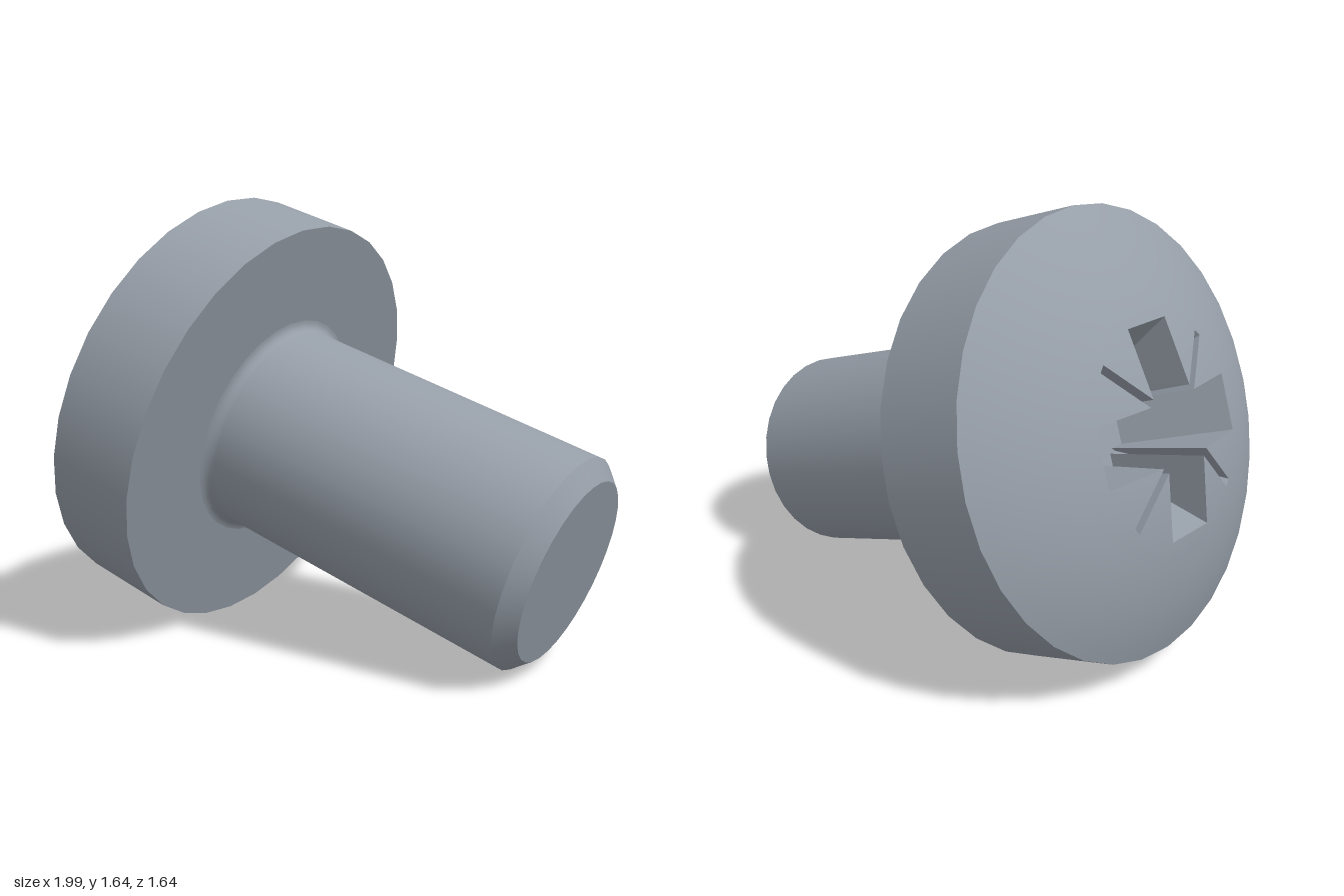
import * as THREE from 'three';

const SIDES = 32;
const HEAD_R = 0.804, RIM = 0.36, TOP = 0.615;      // head radius, rim height, dome apex
const SHAFT_R = 0.4, TIP_R = 0.338, LENGTH = 1.29;
const DECK_R = 0.43;                                // dome area that holds the recess
const CAP = TOP - RIM;
const SPHERE_R = (HEAD_R * HEAD_R + CAP * CAP) / (2 * CAP);
const SPHERE_Y = TOP - SPHERE_R;
const domeY = (r) => SPHERE_Y + Math.sqrt(SPHERE_R * SPHERE_R - r * r);

// Cross outline with a thin slot in each inner corner, counter-clockwise
function crossOutline(arm, halfWidth, slotReach, slot) {
  const pts = [];
  const k = slotReach / Math.SQRT2;
  const quarter = [
    [arm, -halfWidth], [arm, halfWidth], [halfWidth + slot, halfWidth],
    [k + slot / 2, k - slot / 2], [k - slot / 2, k + slot / 2], [halfWidth, halfWidth + slot],
  ];
  for (let q = 0; q < 4; q++) {
    for (const [x, y] of quarter) {
      pts.push(new THREE.Vector2(x, y).rotateAround(new THREE.Vector2(), q * Math.PI / 2));
    }
  }
  return pts;
}

export function createModel() {
  const steel = new THREE.MeshStandardMaterial({ color: 0x959da7 });
  steel.name = 'steel';
  const screw = new THREE.Group();
  screw.name = 'screw';

  const add = (name, geometry) => {
    const mesh = new THREE.Mesh(geometry, steel);
    mesh.name = name;
    screw.add(mesh);
  };
  const turn = (name, profile) =>
    add(name, new THREE.LatheGeometry(profile.map(([r, y]) => new THREE.Vector2(r, y)), SIDES));

  // Shaft with chamfered tip and a small fillet under the head
  const chamferY = -LENGTH + SHAFT_R - TIP_R;
  const fillet = 0.038;
  const shaft = [[SHAFT_R, chamferY]];
  for (let i = 0; i <= 5; i++) {
    const a = i / 5 * Math.PI / 2;
    shaft.push([SHAFT_R + fillet * (1 - Math.cos(a)), -fillet * (1 - Math.sin(a))]);
  }
  turn('tipFace', [[0, -LENGTH], [TIP_R, -LENGTH]]);
  turn('tipChamfer', [[TIP_R, -LENGTH], [SHAFT_R, chamferY]]);
  turn('shaft', shaft);

  // Head: flat underside, straight rim, spherical dome
  turn('headUnderside', [[SHAFT_R + fillet, 0], [HEAD_R, 0]]);
  turn('headRim', [[HEAD_R, 0], [HEAD_R, RIM]]);
  const dome = [];
  for (let i = 0; i <= 8; i++) {
    const r = HEAD_R + (DECK_R - HEAD_R) * i / 8;
    dome.push([r, domeY(r)]);
  }
  turn('headDome', dome);

  // Dome centre, cut by the cross outline and lifted onto the sphere
  const mouth = crossOutline(0.37, 0.105, 0.39, 0.022);
  const circle = [];
  for (let i = 0; i < SIDES; i++) {
    const a = i / SIDES * Math.PI * 2;
    circle.push(new THREE.Vector2(DECK_R * Math.cos(a), DECK_R * Math.sin(a)));
  }
  const deckShape = new THREE.Shape(circle);
  deckShape.holes.push(new THREE.Path(mouth));
  const deck = new THREE.ShapeGeometry(deckShape).rotateX(-Math.PI / 2);
  const pos = deck.attributes.position;
  const n = new THREE.Vector3();
  for (let i = 0; i < pos.count; i++) {
    const x = pos.getX(i), z = pos.getZ(i);
    const y = domeY(Math.hypot(x, z));
    pos.setY(i, y);
    n.set(x, y - SPHERE_Y, z).normalize();
    deck.attributes.normal.setXYZ(i, n.x, n.y, n.z);
  }
  add('domeCentre', deck);

  // Recess walls taper from the mouth to a smaller cross floor
  const base = crossOutline(0.16, 0.085, 0.15, 0.016);
  const floorY = TOP - 0.4;
  const top = mouth.map((p) => [p.x, domeY(p.length()), -p.y]);
  const bottom = base.map((p) => [p.x, floorY, -p.y]);
  const verts = [];
  for (let i = 0; i < top.length; i++) {
    const j = (i + 1) % top.length;
    for (const v of [top[i], top[j], bottom[j], top[i], bottom[j], bottom[i]]) verts.push(...v);
  }
  const walls = new THREE.BufferGeometry();
  walls.setAttribute('position', new THREE.Float32BufferAttribute(verts, 3));
  walls.computeVertexNormals();
  add('recessWalls', walls);
  add('recessFloor',
    new THREE.ShapeGeometry(new THREE.Shape(base)).rotateX(-Math.PI / 2).translate(0, floorY, 0));

  // Lay the screw over so it rests on the head rim and the tip
  const yAxis = new THREE.Vector3(-0.93, 0.307, -0.2045).normalize();
  const zAxis = new THREE.Vector3(0, 1, 0).addScaledVector(yAxis, -yAxis.y).normalize();
  const xAxis = new THREE.Vector3().crossVectors(yAxis, zAxis);
  screw.quaternion.setFromRotationMatrix(new THREE.Matrix4().makeBasis(xAxis, yAxis, zAxis));
  screw.position.set(-0.325, 0.765, 0.037);

  const model = new THREE.Group();
  model.name = 'model';
  model.add(screw);
  return model;
}
